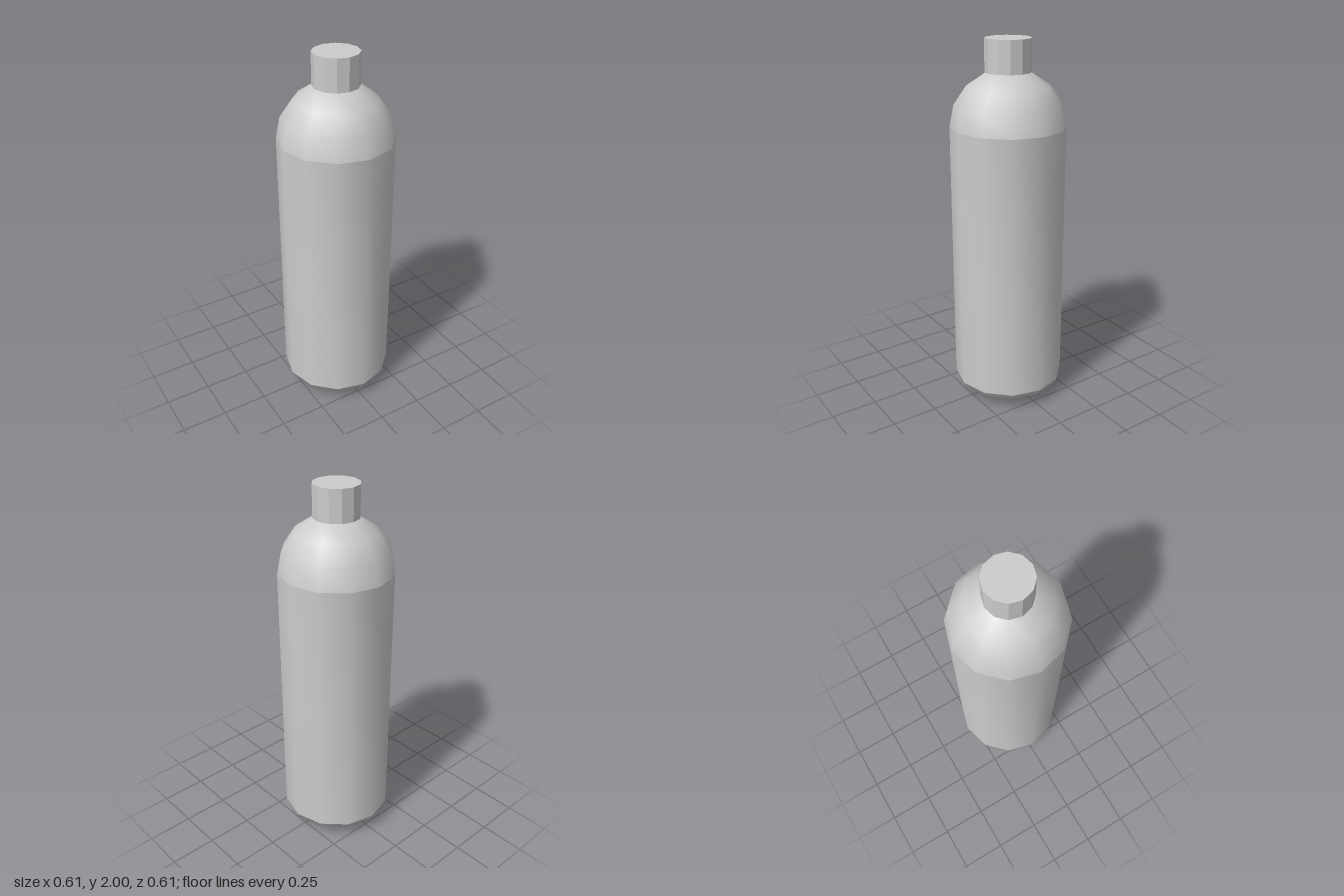
import * as THREE from 'three';
import { mergeVertices } from 'three/addons/utils/BufferGeometryUtils.js';

const SIDES = 12;
const RADIUS = 0.307;
const BODY_BOTTOM = 0.1;
const BODY_TOP = 1.55;

// Smooth lathed shell, welded so its normals are averaged within the part only
function shell(name, profile, material) {
  const geometry = new THREE.LatheGeometry(profile.map(([r, y]) => new THREE.Vector2(r, y)), SIDES);
  geometry.deleteAttribute('uv');
  geometry.deleteAttribute('normal');
  const welded = mergeVertices(geometry, 1e-5);
  welded.computeVertexNormals();
  const mesh = new THREE.Mesh(welded, material);
  mesh.name = name;
  return mesh;
}

// Quarter-ellipse profile from the equator to the pole
function domeProfile(baseY, height) {
  const points = [];
  for (let i = 0; i <= 4; i++) {
    const a = (i / 4) * Math.PI / 2;
    points.push([i === 4 ? 0 : RADIUS * Math.cos(a), baseY + height * Math.sin(a)]);
  }
  return points;
}

export function createModel() {
  const group = new THREE.Group();
  group.name = 'bottle';
  const smooth = new THREE.MeshStandardMaterial({ color: 0xcccccc });
  const flat = new THREE.MeshStandardMaterial({ color: 0xcccccc, flatShading: true });

  // Rounded base, straight wall and domed shoulder
  group.add(shell('base', domeProfile(BODY_BOTTOM, -BODY_BOTTOM).reverse(), smooth));
  group.add(shell('body', [[RADIUS, BODY_BOTTOM], [RADIUS, BODY_TOP]], smooth));
  group.add(shell('shoulder', domeProfile(BODY_TOP, 0.3), smooth));

  // Faceted cap
  const cap = new THREE.Mesh(new THREE.CylinderGeometry(0.122, 0.122, 0.17, SIDES), flat);
  cap.name = 'cap';
  cap.position.y = 1.915;
  group.add(cap);

  return group;
}
